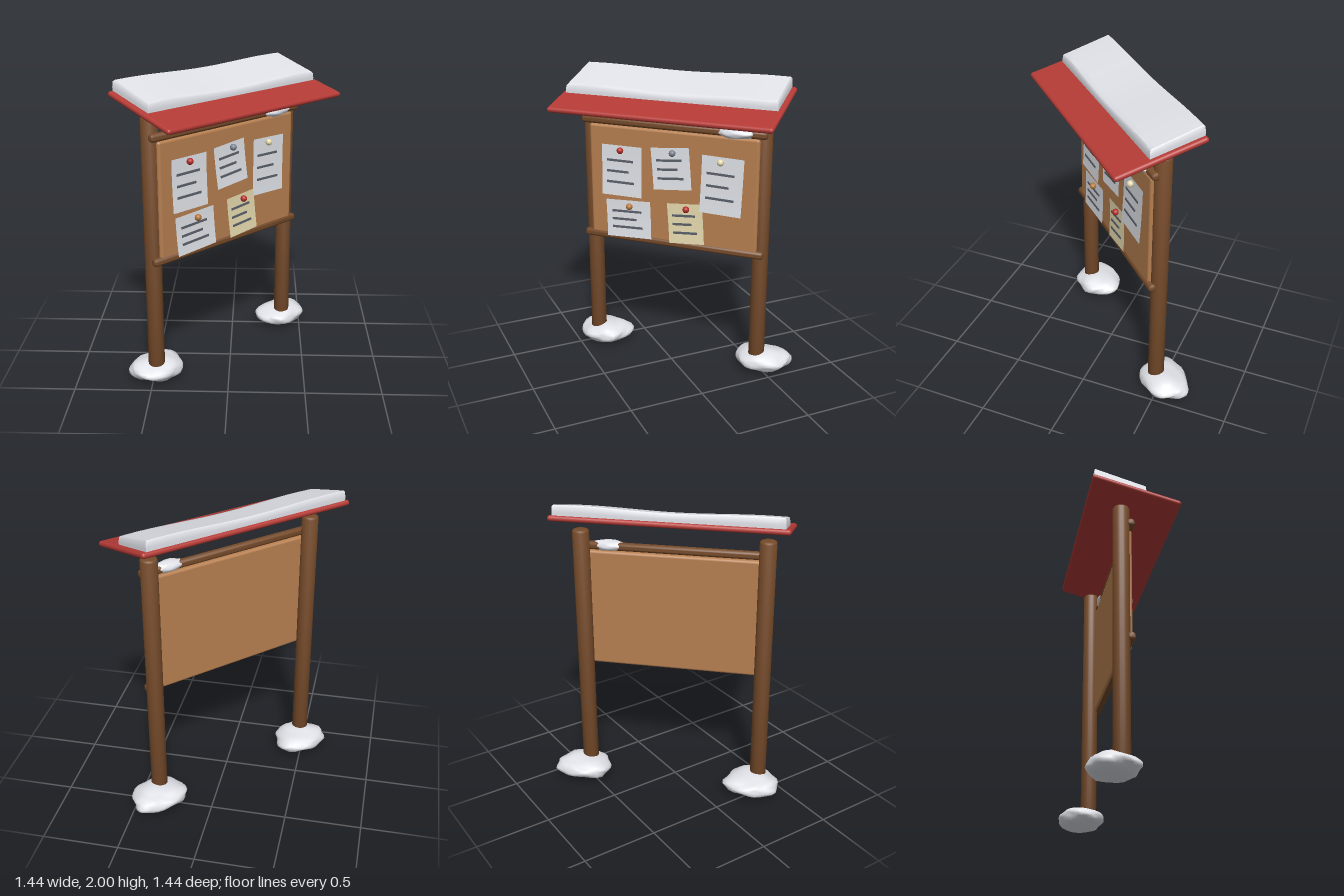
import * as THREE from 'three';
import { mergeVertices, toCreasedNormals } from 'three/addons/utils/BufferGeometryUtils.js';
import { RoundedBoxGeometry } from 'three/addons/geometries/RoundedBoxGeometry.js';

const colour = (name, hex, side = THREE.FrontSide) => {
  const m = new THREE.MeshStandardMaterial({ color: hex, side });
  m.name = name;
  return m;
};

export function createModel() {
  const mat = {
    wood: colour('brown wood', 0x764b2a),
    cork: colour('cork board', 0xb67f50),
    roof: colour('roof red', 0xb53b36),
    snow: colour('snow white', 0xe6e8ee),
    paper: colour('white paper', 0xe4e7ec, THREE.DoubleSide),
    cream: colour('cream paper', 0xe6daae, THREE.DoubleSide),
    ink: colour('grey ink', 0x5c626c),
    red: colour('pin red', 0xb92d29),
    grey: colour('pin grey', 0x7c8694),
    orange: colour('pin orange', 0xb8793c),
  };
  const model = new THREE.Group();
  model.name = 'noticeBoard';
  const body = new THREE.Group();
  body.name = 'boardAssembly';
  body.rotation.y = Math.PI / 4; // stands diagonally
  model.add(body);

  const add = (parent, name, geo, material, x, y, z) => {
    const mesh = new THREE.Mesh(geo, material);
    mesh.name = name;
    mesh.position.set(x, y, z);
    parent.add(mesh);
    return mesh;
  };

  // Round log with softened ends, centred on its length
  const log = (r, len, c) => toCreasedNormals(new THREE.LatheGeometry(
    [[0, 0], [r - c, 0], [r - 0.3 * c, 0.3 * c], [r, c], [r, len - c], [r - 0.3 * c, len - 0.3 * c], [r - c, len], [0, len]]
      .map(([x, y]) => new THREE.Vector2(x, y - len / 2)), 20), 0.9);

  // Lumpy, flattened snow heap
  const heap = (rx, ry, rz, seed, bump) => {
    let geo = new THREE.IcosahedronGeometry(1, 4);
    geo.deleteAttribute('normal');
    geo.deleteAttribute('uv');
    geo = mergeVertices(geo);
    const p = geo.attributes.position;
    for (let i = 0; i < p.count; i++) {
      const x = p.getX(i), y = p.getY(i), z = p.getZ(i);
      const k = 1 + bump * (Math.sin(4.1 * x + seed) * Math.cos(3.7 * z - seed)
        + 0.6 * Math.sin(6.3 * y + 5.2 * z + 2 * seed) * Math.cos(5.5 * x + seed));
      p.setXYZ(i, x * k * rx, y * k * ry, z * k * rz);
    }
    geo.computeVertexNormals();
    return geo;
  };

  // Posts
  for (const s of [-1, 1]) {
    add(body, s < 0 ? 'rightPost' : 'leftPost', log(0.054, 1.76, 0.014), mat.wood, s * 0.593, 0.92, -0.078);
  }

  // Cross rails
  for (const [name, y] of [['lowerRail', 0.878], ['upperRail', 1.68]]) {
    add(body, name, log(0.027, 1.268, 0.016), mat.wood, -0.003, y, -0.02).rotation.z = Math.PI / 2;
  }

  // Cork panel
  add(body, 'corkPanel', new RoundedBoxGeometry(1.168, 0.795, 0.046, 3, 0.018), mat.cork, 0, 1.254, -0.028);

  // Pinned notes: centre, size, tilt, paper, pin position and pin colour
  const notes = [
    [-0.35, 1.35, 0.285, 0.345, 0, mat.paper, -0.355, 1.492, mat.red],
    [0, 1.403, 0.265, 0.28, 0.09, mat.paper, 0.012, 1.512, mat.grey],
    [0.345, 1.325, 0.28, 0.385, -0.03, mat.paper, 0.338, 1.485, mat.cream],
    [-0.305, 1.017, 0.32, 0.26, 0.045, mat.paper, -0.296, 1.108, mat.orange],
    [0.102, 1.036, 0.245, 0.275, 0.08, mat.cream, 0.108, 1.14, mat.red],
  ];
  notes.forEach(([x, y, w, h, tilt, paper, px, py, pin], i) => {
    const note = new THREE.Group();
    note.name = 'note' + (i + 1);
    note.position.set(x, y, 0.001);
    note.rotation.z = tilt;
    body.add(note);
    // Sheet curling slightly outward at the bottom
    const sheet = new THREE.PlaneGeometry(w, h, 4, 8);
    const p = sheet.attributes.position;
    const curl = v => 0.012 * Math.max(0, 0.5 - v / h) ** 2;
    for (let k = 0; k < p.count; k++) p.setZ(k, curl(p.getY(k)));
    sheet.computeVertexNormals();
    add(note, 'sheet', sheet, paper, 0, 0, 0);
    // Written lines
    [[0.2, 0.66], [-0.015, 0.54], [-0.23, 0.68]].forEach(([v, len]) => {
      const lw = w * len;
      add(note, 'writtenLine', new THREE.BoxGeometry(lw, 0.015, 0.006), mat.ink,
        -0.37 * w + lw / 2, v * h, curl(v * h) + 0.002);
    });
    add(body, 'pin' + (i + 1), new THREE.SphereGeometry(0.022, 16, 12), pin, px, py, 0.016);
  });

  // Sloping roof board
  const tilt = 0.235;
  const roof = new THREE.Group();
  roof.name = 'roof';
  roof.position.set(0, 1.857, 0);
  roof.rotation.x = tilt;
  body.add(roof);
  add(roof, 'roofBoard', new RoundedBoxGeometry(1.478, 0.036, 0.588, 4, 0.0175), mat.roof, 0, 0, 0);

  // Snow slab on the upper part of the roof: upright walls, rounded rim, gently wavy top
  const hw = 0.708, hd = 0.173;
  const slab = new THREE.BoxGeometry(2 * hw, 1, 2 * hd, 28, 3, 10);
  const sp = slab.attributes.position;
  for (let i = 0; i < sp.count; i++) {
    const x = sp.getX(i), t = sp.getY(i) + 0.5, z = sp.getZ(i);
    const thick = 0.054 - 0.007 * Math.cos(x * 5.4) - 0.006 * (z / hd);
    const inset = t > 0.9 ? 0.01 : t > 0.6 ? 0.003 : 0;
    const y = thick * (t > 0.9 ? 1 : t > 0.6 ? 0.85 : t);
    sp.setXYZ(i, x * (1 - inset / hw), y, z * (1 - inset / hd) - y * Math.tan(tilt));
  }
  add(roof, 'roofSnow', toCreasedNormals(slab, 0.7), mat.snow, 0, 0.017, -0.111);

  // Snow heaps at the post feet and on the upper rail
  add(body, 'rightFootSnow', heap(0.185, 0.072, 0.158, 1.3, 0.09), mat.snow, -0.555, 0.08, -0.115);
  add(body, 'leftFootSnow', heap(0.192, 0.072, 0.152, 4.2, 0.09), mat.snow, 0.628, 0.08, -0.122);
  add(body, 'railSnow', heap(0.118, 0.035, 0.05, 2.4, 0.08), mat.snow, 0.428, 1.681, -0.008);

  return model;
}
